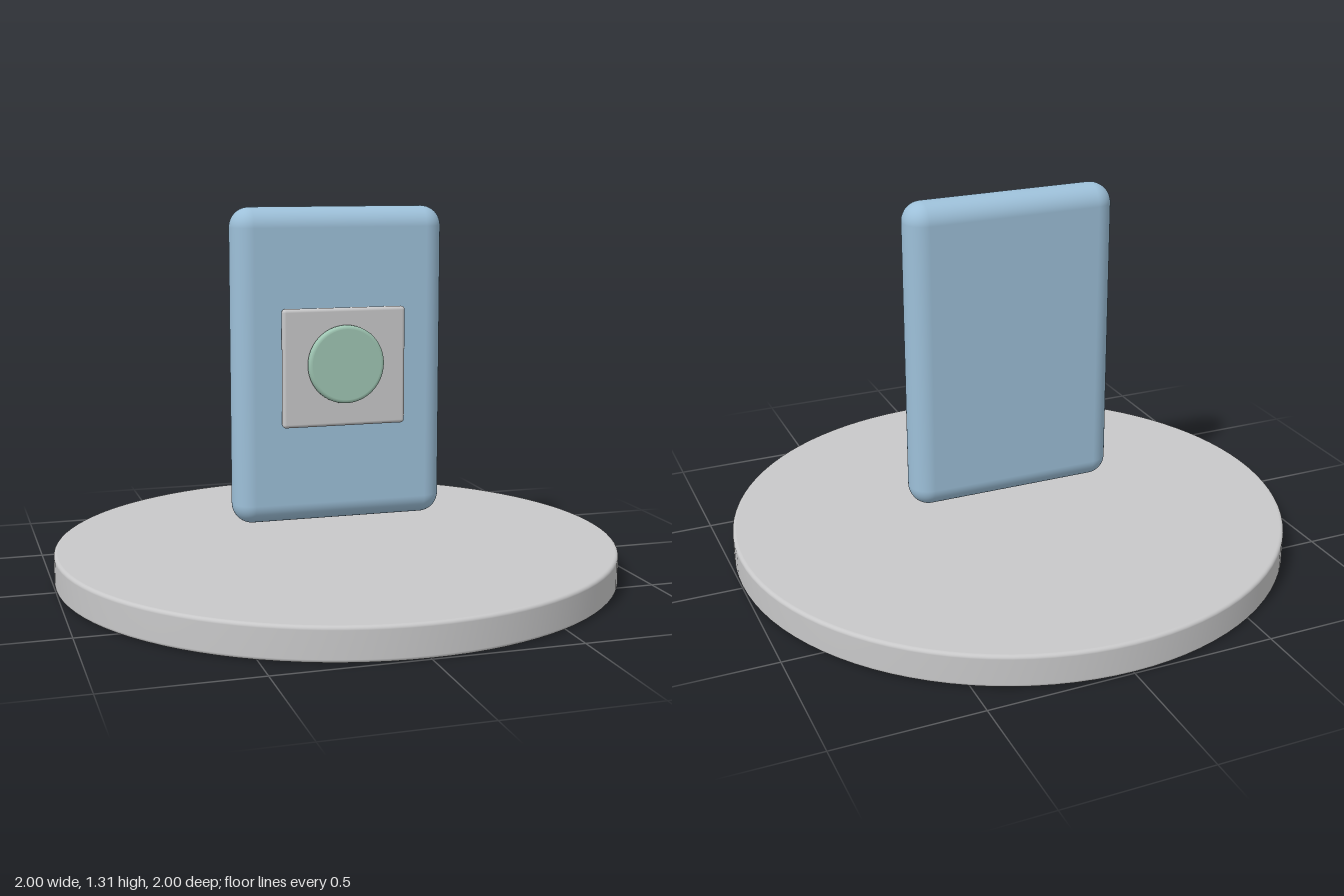
import * as THREE from 'three';
import { RoundedBoxGeometry } from 'three/addons/geometries/RoundedBoxGeometry.js';

const material = (name, color) => {
  const m = new THREE.MeshStandardMaterial({ color });
  m.name = name;
  return m;
};

// Upright disc centred on the origin with rounded rims
function roundedDisc(radius, height, bevel, sides) {
  const h = height / 2, r = radius - bevel, steps = 5, e = 0.001;
  const points = [new THREE.Vector2(0, -h), new THREE.Vector2(r - e, -h)];
  for (const [start, cy] of [[-Math.PI / 2, -h + bevel], [0, h - bevel]]) {
    for (let i = 0; i <= steps; i++) {
      const a = start + (i / steps) * Math.PI / 2;
      points.push(new THREE.Vector2(r + bevel * Math.cos(a), cy + bevel * Math.sin(a)));
    }
  }
  points.push(new THREE.Vector2(r - e, h), new THREE.Vector2(0, h));
  return new THREE.LatheGeometry(points, sides);
}

export function createModel() {
  const group = new THREE.Group();
  const gray = material('light gray', 0xc8c8c9);
  const blue = material('soft blue', 0x9dc0d9);
  const green = material('soft green', 0x9fc6b3);

  const add = (name, geometry, mat, x, y, z) => {
    const mesh = new THREE.Mesh(geometry, mat);
    mesh.name = name;
    mesh.position.set(x, y, z);
    group.add(mesh);
    return mesh;
  };

  // Round base
  add('base', roundedDisc(1, 0.114, 0.012, 96), gray, 0, 0.057, 0);

  // Floating rounded slab
  add('body', new RoundedBoxGeometry(0.76, 1.105, 0.146, 8, 0.07), blue, 0, 0.7525, 0);

  // Square plate in front of the slab
  add('plate', new RoundedBoxGeometry(0.442, 0.413, 0.028, 4, 0.0125), gray, 0, 0.7535, 0.094);

  // Round button on the plate
  const button = add('button', roundedDisc(0.136, 0.03, 0.012, 64), green, 0, 0.766, 0.122);
  button.rotation.x = Math.PI / 2;

  return group;
}
